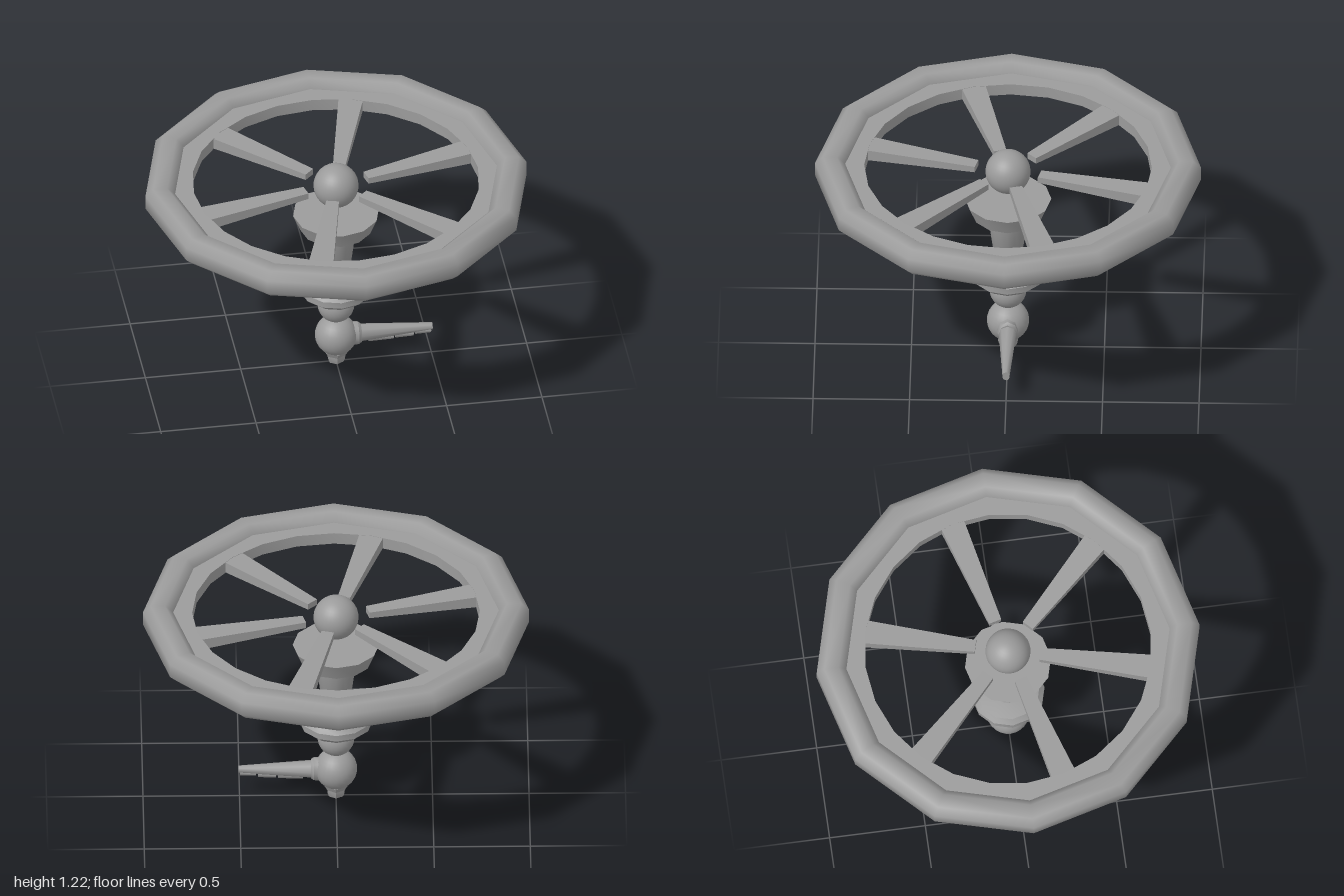
import * as THREE from 'three';
import { toCreasedNormals } from 'three/addons/utils/BufferGeometryUtils.js';

const grey = new THREE.MeshStandardMaterial({ color: 0x9b9b9b });

function add(parent, name, geometry, x = 0, y = 0, z = 0) {
  const mesh = new THREE.Mesh(geometry, grey);
  mesh.name = name;
  mesh.position.set(x, y, z);
  parent.add(mesh);
  return mesh;
}

// Turned part from [radius, height] pairs, listed from bottom to top
function turned(profile, sides, crease = 0.6) {
  const points = profile.map(([r, y]) => new THREE.Vector2(r, y));
  return toCreasedNormals(new THREE.LatheGeometry(points, sides), crease);
}

// Spoke along +x, narrow and thin at the inner end, wide and deep at the rim
function spokeGeometry(inner, outer) {
  const g = new THREE.BoxGeometry(outer - inner, 1, 1);
  g.translate((inner + outer) / 2, 0, 0);
  const p = g.attributes.position;
  for (let i = 0; i < p.count; i++) {
    const atRim = p.getX(i) > (inner + outer) / 2;
    p.setY(i, p.getY(i) * (atRim ? 0.062 : 0.034));
    p.setZ(i, p.getZ(i) * (atRim ? 0.13 : 0.066));
  }
  g.computeVertexNormals();
  return g;
}

// Cylinder lying along +x from x0 to x1
function rod(r0, r1, x0, x1, sides) {
  const g = new THREE.CylinderGeometry(r1, r0, x1 - x0, sides);
  g.rotateZ(-Math.PI / 2);
  g.translate((x0 + x1) / 2, 0, 0);
  return toCreasedNormals(g, 0.9);
}

export function createModel() {
  const model = new THREE.Group();
  model.name = 'handWheel';

  // Wheel: twelve-sided rim, flat inner band, six tapered spokes and a hub ball
  const wheel = new THREE.Group();
  wheel.name = 'wheel';
  wheel.position.y = 1.1;
  model.add(wheel);
  add(wheel, 'rim', turned([[1, -0.038], [1, 0.038], [0.96, 0.076], [0.885, 0.076],
    [0.845, 0.038], [0.845, -0.038], [0.885, -0.076], [0.96, -0.076], [1, -0.038]], 12, 1.05));
  add(wheel, 'innerBand', turned(
    [[0.745, -0.032], [0.87, -0.032], [0.87, 0.032], [0.745, 0.032], [0.745, -0.032]], 24));
  const spoke = spokeGeometry(0.17, 0.77);
  for (let i = 0; i < 6; i++) {
    add(wheel, 'spoke', spoke).rotation.y = Math.PI / 12 + i * Math.PI / 3;
  }
  add(wheel, 'hubBall', new THREE.SphereGeometry(0.117, 32, 20));

  // Stem: cup, tapered column and neck
  add(model, 'cup', turned(
    [[0, 0.795], [0.11, 0.795], [0.188, 0.84], [0.225, 0.93], [0, 0.93]], 12));
  add(model, 'column', turned(
    [[0.055, 0.59], [0.08, 0.63], [0.102, 0.8]], 16));
  add(model, 'neck', turned([[0.082, 0.52], [0.055, 0.605]], 16));

  // Collar disc under the neck
  add(model, 'collarDisc', turned([[0, 0.417], [0.148, 0.417], [0.19, 0.453],
    [0.19, 0.487], [0.165, 0.515], [0.08, 0.53], [0, 0.53]], 12));

  // Lower balls and the flared nut on the underside
  add(model, 'smallBall', new THREE.SphereGeometry(0.096, 24, 16), 0, 0.355, 0);
  add(model, 'largeBall', new THREE.SphereGeometry(0.11, 24, 16), 0, 0.165, 0);
  add(model, 'nut', turned([[0, 0], [0.042, 0.004], [0.05, 0.025],
    [0.052, 0.045], [0.068, 0.075], [0, 0.09]], 6, 0.3));

  // Side handle: collar, tapered grip and finger ridges below it
  const handle = new THREE.Group();
  handle.name = 'handle';
  handle.position.y = 0.163;
  model.add(handle);
  add(handle, 'handleCollar', rod(0.068, 0.066, 0.08, 0.115, 8)).scale.z = 0.82;
  add(handle, 'handleCollarLip', rod(0.066, 0.055, 0.115, 0.13, 8)).scale.z = 0.82;
  add(handle, 'grip', rod(0.05, 0.02, 0.1, 0.505, 8)).scale.z = 0.95;
  const ridges = [
    [0.17, 0.3, -0.03, 0.026], [0.31, 0.405, -0.025, 0.024], [0.415, 0.497, -0.018, 0.02]];
  for (const [x0, x1, y, r] of ridges) {
    add(handle, 'fingerRidge', rod(r, r * 0.9, x0, x1, 8), 0, y, 0);
  }

  return model;
}
